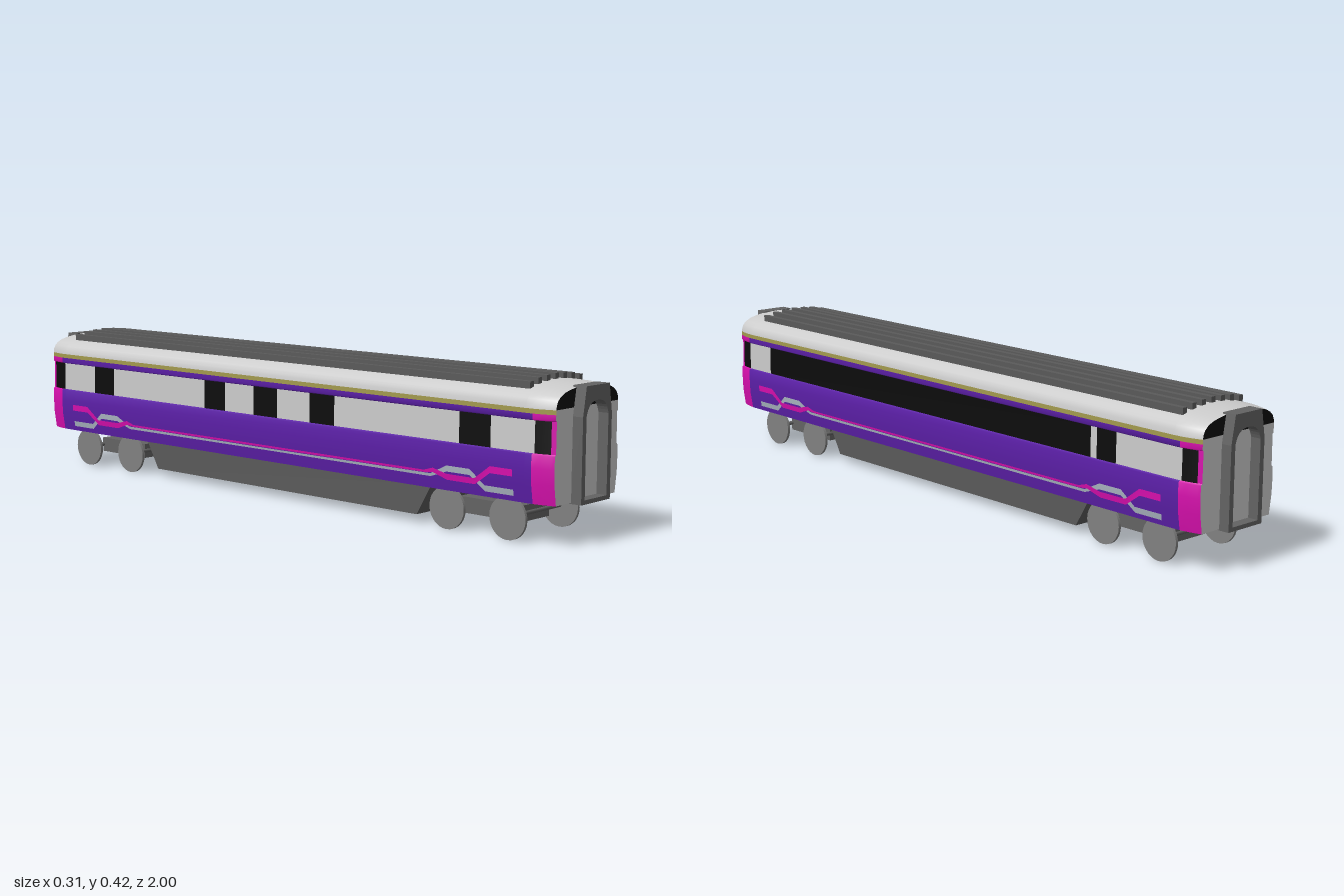
import * as THREE from 'three';

const PURPLE = 0x5c1fa8, MAGENTA = 0xd80fae, GOLD = 0xa39a4e, GREY = 0xcccccc;
const BLACK = 0x0c0c0c, DARK = 0x636363, SILVER = 0xa9b4c0;
const FLOOR = 0.108, EAVES = 0.347, END = 0.97;
const mat = (color) => new THREE.MeshStandardMaterial({ color, side: THREE.DoubleSide });

// half cross-section, as [x, y] runs
const WALL = [[0.143, FLOOR], [0.1515, 0.16], [0.153, 0.2], [0.152, 0.232], [0.147, 0.236]];
const WINDOW = [[0.147, 0.236], [0.146, 0.318]];
const TRIM = [[0.146, 0.318], [0.15, 0.321], [0.15, 0.335]];
const CANT = [[0.15, 0.335], [0.15, EAVES]];
const ROOF = [[0.15, EAVES], [0.148, 0.359], [0.142, 0.371], [0.131, 0.381], [0.113, 0.390],
  [0.09, 0.396], [0.06, 0.401], [0.03, 0.404], [0, 0.405]];

// the section narrows towards both ends
const SLICES = [0.89, 0.915, 0.935, 0.95, 0.962];
const KINKS = [...SLICES.map((z) => -z).reverse(), ...SLICES];
const taper = (z) => 1 - 0.1 * Math.pow(Math.max(0, (Math.abs(z) - 0.89) / 0.08), 2);
const place = ([x, y], z) => {
  const k = taper(z);
  return [x * k, y > EAVES ? EAVES + (y - EAVES) * k : y, z];
};
const mirror = (pts) => pts.map(([x, y]) => [-x, y]).reverse();

function grid(rows) {
  const n = rows[0].length, index = [];
  for (let i = 0; i < rows.length - 1; i++)
    for (let j = 0; j < n - 1; j++) {
      const a = i * n + j, b = a + n;
      index.push(a, a + 1, b, a + 1, b + 1, b);
    }
  const geo = new THREE.BufferGeometry();
  geo.setAttribute('position', new THREE.Float32BufferAttribute(rows.flat(2), 3));
  geo.setIndex(index);
  geo.computeVertexNormals();
  return geo;
}

export function createModel() {
  const model = new THREE.Group();
  const add = (name, geo, color, x = 0, y = 0, z = 0, parent = model) => {
    const mesh = new THREE.Mesh(geo, mat(color));
    mesh.name = name;
    mesh.position.set(x, y, z);
    parent.add(mesh);
    return mesh;
  };

  // shell skin between two stations along z
  const strip = (name, color, pts, z0 = -END, z1 = END) => {
    const zs = [z0, ...KINKS.filter((z) => z > z0 && z < z1), z1];
    add(name, grid(zs.map((z) => pts.map((p) => place(p, z)))), color);
  };
  const sideStrip = (name, color, pts, side, z0, z1) =>
    strip(name, color, side > 0 ? pts : mirror(pts), z0, z1);

  strip('roof', GREY, [...ROOF, ...mirror(ROOF).slice(1)]);
  strip('floor', 0x444444, [[-0.143, FLOOR], [0.143, FLOOR]]);

  // window bands: stations where glass and grey panels alternate, from back to front
  const bands = {
    1: [-0.958, -0.915, -0.695, -0.627, -0.605, 0.8, 0.91, 0.958],
    [-1]: [-0.958, -0.9, -0.755, -0.665, -0.262, -0.177, -0.06, 0.033, 0.157, 0.249, 0.68, 0.78, 0.915, 0.958],
  };
  // stripe paths from the car end to the middle, as [z, y, half thickness]
  const silverPath = [[0.855, 0.13, 0.008], [0.765, 0.13, 0.008], [0.72, 0.167, 0.008],
    [0.645, 0.167, 0.008], [0.59, 0.144, 0.004], [0, 0.144, 0.003]];
  const magentaPath = [[0.855, 0.181, 0.009], [0.785, 0.181, 0.009], [0.735, 0.145, 0.008],
    [0.645, 0.145, 0.008], [0.6, 0.158, 0.006], [0.57, 0.152, 0.003], [0, 0.152, 0.003]];
  const wallX = (y) => {
    const i = Math.max(1, WALL.findIndex((p) => p[1] >= y));
    const [a, b] = [WALL[i - 1], WALL[i]];
    return a[0] + (b[0] - a[0]) * (y - a[1]) / (b[1] - a[1]);
  };

  for (const side of [1, -1]) {
    for (const [name, pts] of [['lowerWall', WALL], ['upperTrim', TRIM]]) {
      sideStrip(name, PURPLE, pts, side, -0.91, 0.91);
      sideStrip(name + 'End', MAGENTA, pts, side, 0.91, END);
      sideStrip(name + 'End', MAGENTA, pts, side, -END, -0.91);
    }
    sideStrip('goldBand', GOLD, CANT, side);
    const b = bands[side];
    for (let i = 0; i < b.length - 1; i++) {
      const glass = i % 2 === 0;
      sideStrip(glass ? 'window' : 'windowPanel', glass ? BLACK : GREY, WINDOW, side, b[i], b[i + 1]);
    }
    sideStrip('cornerPost', MAGENTA, WINDOW, side, 0.958, END);
    sideStrip('cornerPost', MAGENTA, WINDOW, side, -END, -0.958);

    // painted stripes lying just proud of the lower wall
    for (const [name, color, path, lift] of [['silverStripe', SILVER, silverPath, 0.0015],
      ['magentaStripe', MAGENTA, magentaPath, 0.0022]])
      for (const end of [1, -1]) {
        const rows = path.map(([z, y, h]) => [-h, 0, h].map((d) =>
          [side * (wallX(y + d) + lift), y + d, end * z]));
        add(name, grid(side * end > 0 ? rows.reverse() : rows), color);
      }
  }

  // roof ribs
  [0, 0.036, 0.071, 0.106].forEach((x, i) => {
    const top = [0.42, 0.418, 0.415, 0.408][i];
    for (const s of i ? [1, -1] : [1])
      add('roofRib', new THREE.BoxGeometry(0.015, 0.03, 1.76), 0x5a5a5a, s * x, top - 0.015, -0.005);
  });

  // end walls, gangways and bogies at both ends
  const shapeOf = (pts) => new THREE.Shape(pts.map(([x, y]) => new THREE.Vector2(x, y)));
  const half = (pts) => pts.map((p) => place(p, END).slice(0, 2));
  const outline = (pts) => { const h = half(pts); return shapeOf([...h, ...mirror(h)]); };
  const gangway = shapeOf([[-0.064, 0.105], [0.062, 0.105], [0.062, 0.325], [0.049, 0.401], [-0.051, 0.401], [-0.064, 0.325]]);
  const opening = new THREE.Path();
  opening.moveTo(-0.049, 0.116);
  opening.lineTo(-0.049, 0.325);
  opening.bezierCurveTo(-0.042, 0.35, -0.03, 0.363, -0.001, 0.363);
  opening.bezierCurveTo(0.028, 0.363, 0.04, 0.35, 0.047, 0.325);
  opening.lineTo(0.047, 0.116);
  gangway.holes.push(opening);

  for (const end of [1, -1]) {
    const endGroup = new THREE.Group();
    endGroup.name = end > 0 ? 'frontEnd' : 'backEnd';
    endGroup.rotation.y = end > 0 ? 0 : Math.PI;
    model.add(endGroup);
    add('endWall', new THREE.ShapeGeometry(outline([...WALL, ...WINDOW.slice(1), ...TRIM.slice(1), ...CANT.slice(1)])),
      GREY, 0, 0, END, endGroup);
    add('endUpperPanel', new THREE.ShapeGeometry(outline(ROOF)), BLACK, 0, 0, END, endGroup);
    add('gangway', new THREE.ExtrudeGeometry(gangway, { depth: 0.04, bevelEnabled: false, curveSegments: 8 }),
      DARK, 0, 0, 0.96, endGroup);

    const bogie = new THREE.Group();
    bogie.name = 'bogie';
    bogie.position.set(-0.004, 0, end * 0.72);
    model.add(bogie);
    add('bogieFrame', new THREE.BoxGeometry(0.118, 0.043, 0.2), DARK, 0, 0.0585, 0, bogie);
    add('bogiePivot', new THREE.CylinderGeometry(0.033, 0.033, 0.032, 20), DARK, 0, 0.094, 0, bogie);
    const across = (r, len, n) => new THREE.CylinderGeometry(r, r, len, n).rotateZ(Math.PI / 2);
    for (const dz of [0.098, -0.098]) {
      add('axle', across(0.006, 0.228, 10), DARK, 0, 0.059, dz, bogie);
      for (const s of [1, -1])
        add('wheel', across(0.057, 0.008, 28), 0x808080, s * 0.114, 0.057, dz, bogie);
    }
  }

  // underfloor equipment skirt with sloping ends
  const skirt = shapeOf([[-0.56, FLOOR], [-0.51, 0.022], [0.51, 0.022], [0.56, FLOOR]]);
  const skirtGeo = new THREE.ExtrudeGeometry(skirt, { depth: 0.208, bevelEnabled: false });
  skirtGeo.translate(0, 0, -0.104).rotateY(Math.PI / 2);
  add('underfloorCase', skirtGeo, 0x5a5a5a, -0.004, 0, 0);

  return model;
}
